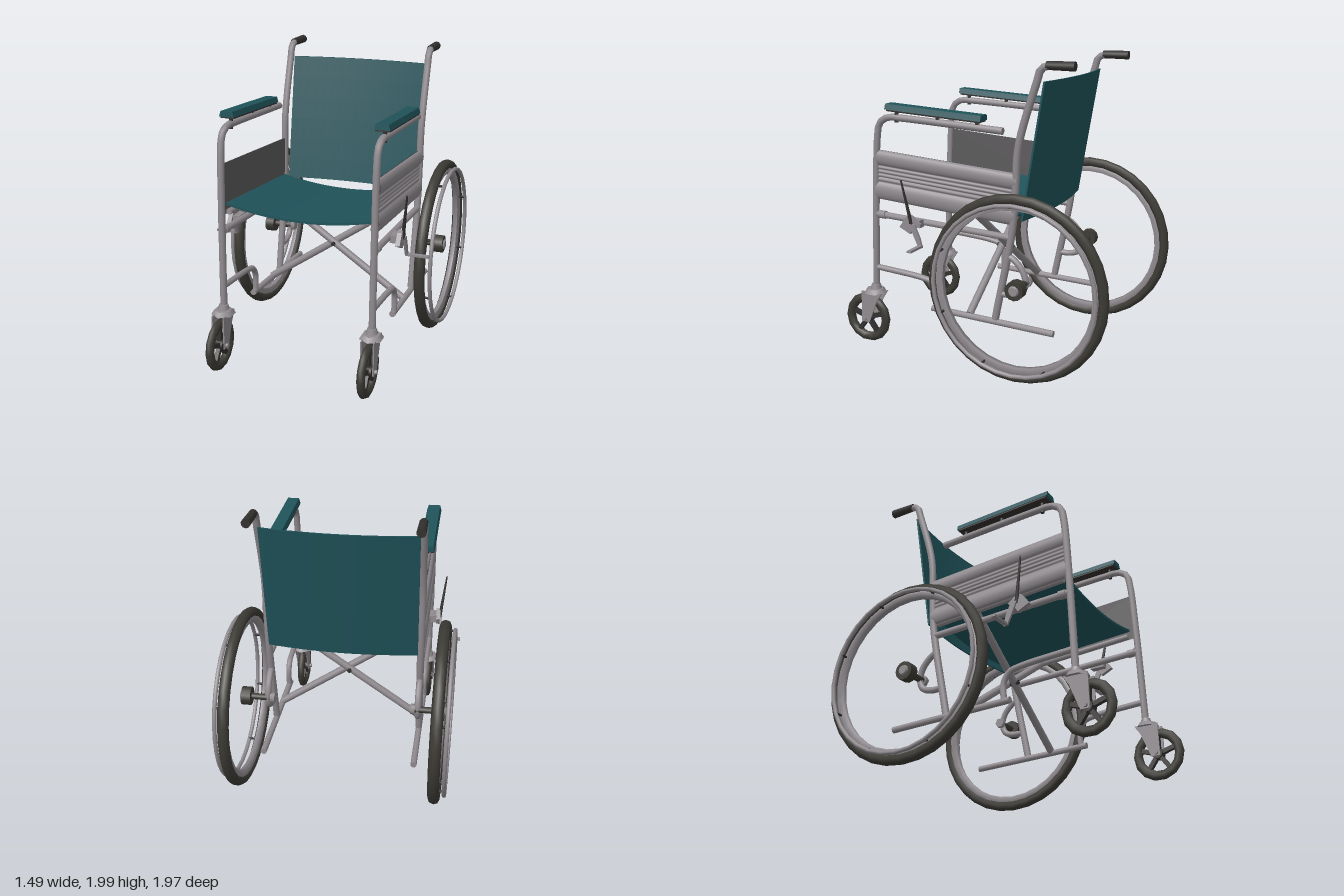
import * as THREE from 'three';

const paint = (name, color, side = THREE.FrontSide) => {
  const m = new THREE.MeshStandardMaterial({ color, side });
  m.name = name;
  return m;
};

export function createModel() {
  const root = new THREE.Group();
  root.name = 'wheelchair';
  const steel = paint('steel', 0x8f8a8e, THREE.DoubleSide);
  const teal = paint('tealVinyl', 0x1f535a, THREE.DoubleSide);
  const rubber = paint('rubber', 0x3c3a34);
  const dark = paint('darkPlastic', 0x33312f);
  const liner = paint('panelLiner', 0x5c5a5c, THREE.DoubleSide);
  const V = (x, y, z) => new THREE.Vector3(x, y, z);

  const add = (parent, name, geo, mat, x = 0, y = 0, z = 0) => {
    const m = new THREE.Mesh(geo, mat);
    m.name = name;
    m.position.set(x, y, z);
    parent.add(m);
    return m;
  };
  // straight bar between two points
  const rod = (parent, name, a, b, r, mat, r2 = r, sides = 10) => {
    const d = b.clone().sub(a);
    const m = add(parent, name, new THREE.CylinderGeometry(r2, r, d.length(), sides), mat);
    m.position.copy(a).add(b).multiplyScalar(0.5);
    m.quaternion.setFromUnitVectors(V(0, 1, 0), d.normalize());
    return m;
  };
  // bent pipe lying in a side plane, points given as [z, y]
  const pipe = (parent, name, x, pts, r, mat = steel) => {
    const curve = new THREE.CatmullRomCurve3(pts.map(([z, y]) => V(x, y, z)), false, 'centripetal');
    return add(parent, name, new THREE.TubeGeometry(curve, pts.length * 6, r, 10), mat);
  };
  // flat plate in a side plane, outline given as [z, y]
  const plate = (parent, name, x, pts, t, mat) => {
    const shape = new THREE.Shape(pts.map(([z, y]) => new THREE.Vector2(z, y)));
    const g = new THREE.ExtrudeGeometry(shape, { depth: t, bevelEnabled: false });
    g.translate(0, 0, -t / 2).rotateY(-Math.PI / 2);
    return add(parent, name, g, mat, x);
  };
  // move each vertex of a geometry by a rule
  const bend = (geo, rule) => {
    const p = geo.attributes.position;
    const v = V(0, 0, 0);
    for (let i = 0; i < p.count; i++) {
      v.fromBufferAttribute(p, i);
      rule(v);
      p.setXYZ(i, v.x, v.y, v.z);
    }
    geo.computeVertexNormals();
    return geo;
  };
  const ring = (R, r, n, flat = 1) =>
    new THREE.TorusGeometry(R, r, 8, n).scale(1, 1, flat).rotateY(Math.PI / 2);

  // sagging seat sling
  add(root, 'seat', bend(new THREE.BoxGeometry(0.99, 0.016, 0.94, 16, 1, 4), (v) => {
    v.z += 0.195;
    const sag = 1 - (v.x / 0.495) ** 2;
    v.y += 1.03 + (v.z - 0.195) * 0.08 + 0.045 - sag * 0.06;
  }), teal);
  // backrest sling, bowed to the rear
  add(root, 'backrest', bend(new THREE.BoxGeometry(0.98, 0.87, 0.012, 16, 6, 1), (v) => {
    v.y += 1.44;
    v.z += -0.345 - (v.y - 1.005) * 0.165 - 0.045 * (1 - (v.x / 0.49) ** 2);
  }), teal);

  // folding cross brace
  rod(root, 'crossBraceA', V(-0.49, 1.02, 0.02), V(0.5, 0.34, 0.02), 0.025, steel);
  rod(root, 'crossBraceB', V(0.49, 1.02, -0.03), V(-0.5, 0.34, -0.03), 0.025, steel);
  rod(root, 'bracePivot', V(0, 0.68, -0.065), V(0, 0.68, 0.055), 0.015, dark);

  for (const s of [1, -1]) {
    const side = new THREE.Group();
    side.name = s > 0 ? 'leftSide' : 'rightSide';
    root.add(side);
    const X = 0.505 * s;

    // frame tubes
    pipe(side, 'frontPostAndArm', X, [[0.735, 0.4], [0.71, 1.08], [0.685, 1.48], [0.665, 1.56],
      [0.6, 1.6], [0.5, 1.6], [-0.22, 1.565]], 0.023);
    pipe(side, 'rearPost', X, [[-0.17, 0.34], [-0.29, 0.95], [-0.31, 1.2], [-0.33, 1.48],
      [-0.45, 1.88], [-0.475, 1.95], [-0.53, 1.972], [-0.6, 1.972]], 0.024);
    rod(side, 'handGrip', V(X, 1.972, -0.51), V(X, 1.972, -0.69), 0.026, dark, 0.029);
    rod(side, 'armEndCap', V(X, 1.566, -0.2), V(X, 1.564, -0.225), 0.023, steel);
    rod(side, 'middleRail', V(X, 0.945, 0.71), V(X, 0.895, -0.29), 0.022, steel);
    rod(side, 'railCollar', V(X, 0.944, 0.69), V(X, 0.942, 0.64), 0.028, steel);
    rod(side, 'seatRail', V(0.48 * s, 1.06, 0.66), V(0.48 * s, 0.99, -0.28), 0.02, steel);
    rod(side, 'lowerRail', V(X, 0.34, 0.295), V(X, 0.305, -0.575), 0.021, steel);
    pipe(side, 'footTube', X, [[0.72, 0.57], [0.36, 0.54], [0.29, 0.52], [0.25, 0.46], [0.25, 0.34]], 0.02);

    // armrest pad on pegs
    const pad = add(side, 'armrestPad', bend(new THREE.BoxGeometry(0.1, 0.036, 0.69), (v) => {
      if (v.y > 0) v.x *= 0.8;
    }).toNonIndexed(), teal, X, 1.656, 0.25);
    pad.geometry.computeVertexNormals();
    const base = add(side, 'armrestBase', new THREE.BoxGeometry(0.092, 0.012, 0.67), dark, X, 1.634, 0.25);
    pad.rotation.x = base.rotation.x = -0.055;
    for (const z of [0.535, 0.23, -0.05])
      rod(side, 'armrestPeg', V(X, 1.57, z), V(X, 1.64, z), 0.013, dark);

    // ribbed side panel with a flat liner
    const edges = [0, 0.36, 0.45, 0.53, 0.61, 0.69, 1];
    const panel = (name, depth, x, mat) =>
      add(side, name, bend(new THREE.PlaneGeometry(1, 1, 1, depth ? 60 : 1), (v) => {
        const t = v.y + 0.5;
        const i = Math.max(1, edges.findIndex((e) => e >= t - 1e-6));
        const f = (t - edges[i - 1]) / (edges[i] - edges[i - 1]);
        const w = edges[i] - edges[i - 1];
        const z = 0.19 + v.x * 1.01 - (t - 0.5) * 0.025;
        const h = depth * (w > 0.2 ? 1 : 0.5) * Math.sqrt(Math.max(0, Math.sin(Math.PI * f)));
        v.set((x + h) * s, 0.978 + t * 0.33 + (v.x + 0.5) * 0.072, z);
      }), mat);
    panel('sidePanel', 0.027, 0.503, steel);
    panel('sidePanelLiner', 0, 0.497, liner);

    // drive wheel
    const wheel = new THREE.Group();
    wheel.name = 'driveWheel';
    wheel.position.set(0.653 * s, 0.613, -0.38);
    side.add(wheel);
    add(wheel, 'tyre', ring(0.571, 0.034, 32, 1.1), rubber);
    const rim = [[0.505, -0.015], [0.545, -0.027], [0.55, 0], [0.545, 0.027], [0.505, 0.015], [0.505, -0.015]];
    add(wheel, 'rim', new THREE.LatheGeometry(rim.map(([r, y]) => new THREE.Vector2(r, y)), 32)
      .rotateZ(Math.PI / 2), steel);
    add(wheel, 'handRim', ring(0.543, 0.014, 32), steel, 0.064 * s);
    for (let i = 0; i < 8; i++) {
      const a = (i + 0.5) * Math.PI / 4, y = 0.535 * Math.cos(a), z = 0.535 * Math.sin(a);
      rod(wheel, 'handRimStud', V(0.015 * s, y, z), V(0.064 * s, y, z), 0.008, dark, 0.008, 6);
    }
    rod(wheel, 'hub', V(-0.035 * s, 0, 0), V(0.03 * s, 0, 0), 0.062, rubber, 0.062, 12);
    rod(wheel, 'hubCap', V(0.03 * s, 0, 0), V(0.042 * s, 0, 0), 0.036, steel, 0.028);
    rod(wheel, 'axle', V(-0.17 * s, 0, 0), V(0, 0, 0), 0.022, rubber);
    rod(wheel, 'axleNut', V(-0.195 * s, 0, 0), V(-0.165 * s, 0, 0), 0.035, steel, 0.035, 6);
    pipe(side, 'axleBracket', X, [[-0.25, 0.78], [-0.3, 0.755], [-0.36, 0.69], [-0.382, 0.613],
      [-0.355, 0.545], [-0.29, 0.52], [-0.2, 0.52]], 0.021);

    // front caster
    const caster = new THREE.Group();
    caster.name = 'caster';
    caster.position.set(X, 0.193, 0.81);
    side.add(caster);
    add(caster, 'casterTyre', ring(0.143, 0.032, 14, 0.85), rubber);
    rod(caster, 'casterHub', V(-0.03, 0, 0), V(0.03, 0, 0), 0.035, dark);
    for (let i = 0; i < 5; i++) {
      const a = (i * 2 * Math.PI) / 5;
      const spoke = add(caster, 'casterSpoke', new THREE.BoxGeometry(0.03, 0.1, 0.028), dark,
        0, 0.075 * Math.cos(a), 0.075 * Math.sin(a));
      spoke.rotation.x = a;
    }
    for (const e of [-1, 1])
      plate(caster, 'forkBlade', 0.04 * e, [[0.02, 0.2], [-0.14, 0.2], [-0.1, 0.14], [-0.035, -0.02],
        [0.025, -0.02]], 0.009, steel);
    add(caster, 'forkCrown', new THREE.CylinderGeometry(0.06, 0.08, 0.03, 6), steel, 0, 0.207, -0.065);
    add(caster, 'forkStem', new THREE.CylinderGeometry(0.03, 0.04, 0.04, 10), steel, 0, 0.235, -0.073);
    rod(caster, 'casterBolt', V(-0.06, 0, 0), V(0.06, 0, 0), 0.014, steel);

    // parking brake
    const brake = new THREE.Group();
    brake.name = 'brake';
    side.add(brake);
    add(brake, 'brakeClamp', new THREE.BoxGeometry(0.05, 0.05, 0.1), steel, 0.545 * s, 0.925, 0.39);
    plate(brake, 'brakePlate', 0.58 * s, [[0.48, 0.9], [0.43, 0.97], [0.4, 0.985], [0.33, 0.93],
      [0.38, 0.9], [0.4, 0.86]], 0.03, steel);
    rod(brake, 'brakeLever', V(0.59 * s, 0.92, 0.39), V(0.625 * s, 1.22, 0.44), 0.014, dark, 0.006, 6);
    plate(brake, 'brakeArm', 0.6 * s, [[0.4, 0.93], [0.36, 0.93], [0.325, 0.85], [0.305, 0.78],
      [0.335, 0.785], [0.365, 0.85]], 0.015, steel);
    add(brake, 'brakeShoe', new THREE.BoxGeometry(0.15, 0.014, 0.03), steel, 0.67 * s, 0.79, 0.32);
  }
  return root;
}
